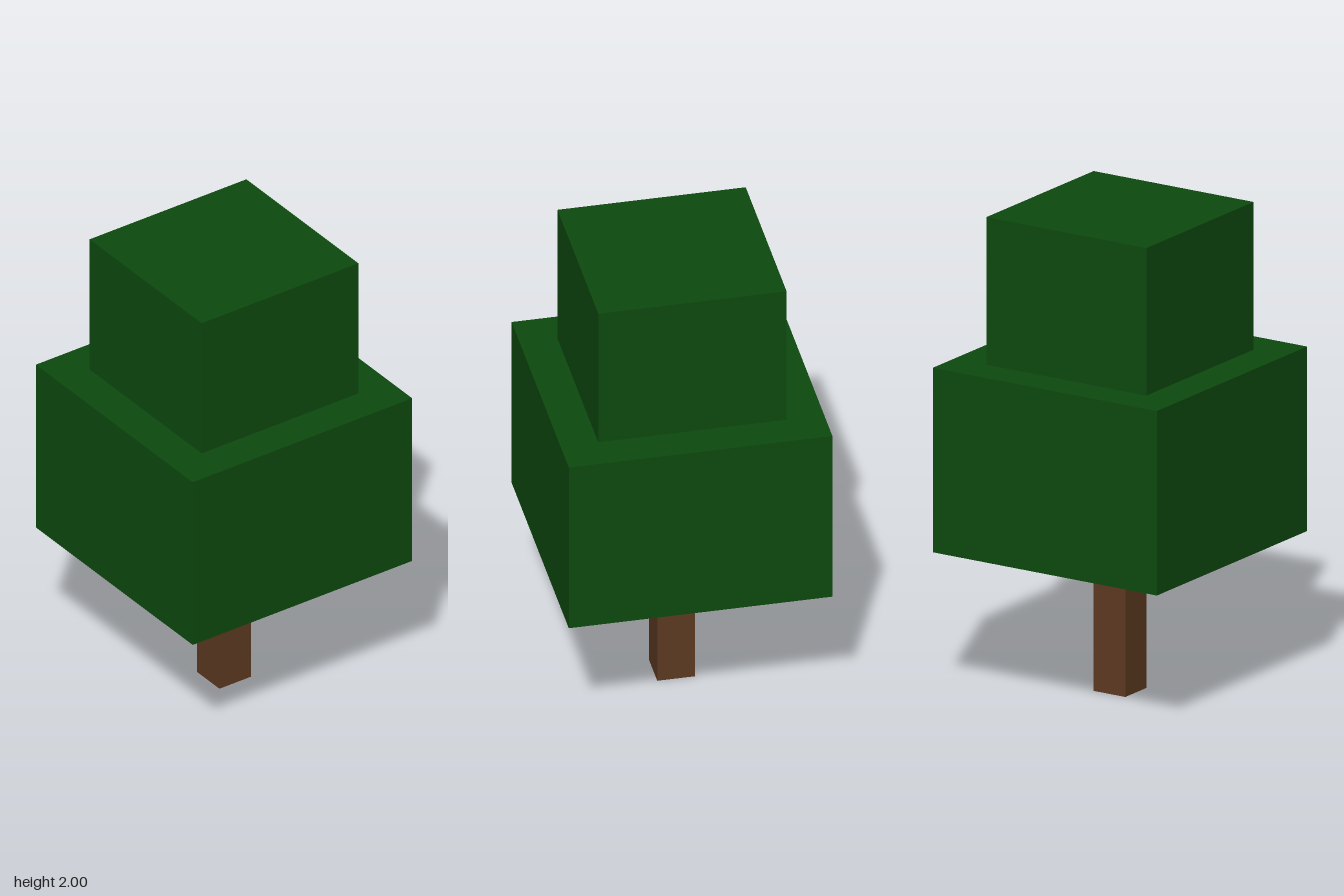
import * as THREE from 'three';

// The tree sits on a block grid, 13 blocks tall
const U = 2 / 13;

export function createModel() {
  const tree = new THREE.Group();
  tree.name = 'tree';

  const bark = new THREE.MeshStandardMaterial({ name: 'brown bark', color: 0x5e3a22 });
  const leaves = new THREE.MeshStandardMaterial({ name: 'dark green leaves', color: 0x0d4a0f });

  // Square block from one grid height to another
  const block = (name, width, bottom, top, material) => {
    const geometry = new THREE.BoxGeometry(width * U, (top - bottom) * U, width * U);
    const mesh = new THREE.Mesh(geometry, material);
    mesh.name = name;
    mesh.position.y = ((bottom + top) / 2) * U;
    tree.add(mesh);
  };

  block('trunk', 1, 0, 4, bark);
  block('lowerFoliage', 7, 4, 9, leaves);
  block('upperFoliage', 5, 9, 13, leaves);

  return tree;
}
